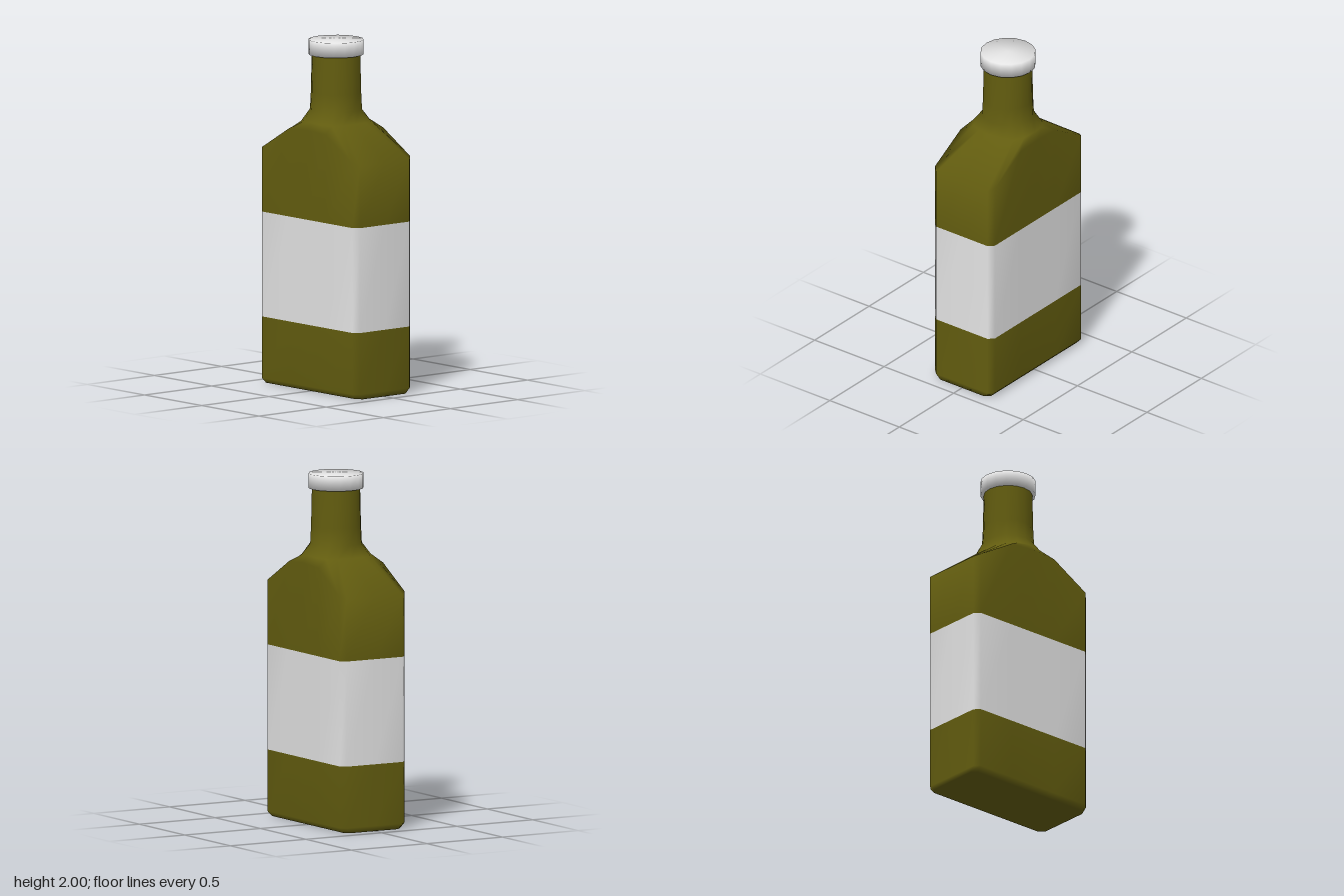
import * as THREE from 'three';

// Mirrors a quarter ring of five [x, y, z] points (side middle to front middle) into 16 points
function fullRing(q) {
  const ring = [];
  for (let k = 0; k < 16; k++) {
    const m = k % 8;
    const [x, y, z] = k <= 4 ? q[k] : k <= 8 ? q[8 - k] : k <= 12 ? q[k - 8] : q[16 - k];
    const sx = k > 4 && k < 12 ? -1 : 1;
    const sz = k > 8 ? -1 : 1;
    ring.push(m === 4 ? [0, y, sz * z] : [sx * x, y, sz * z]);
  }
  return ring;
}

// Rectangular ring with cut corners
const boxRing = (y, x, z, cut = 0.03) =>
  fullRing([[x, y, 0], [x, y, 0.16], [x, y, z - cut], [x - cut, y, z], [0, y, z]]);

// Round ring
const roundRing = (y, r) =>
  fullRing([0, 1, 2, 3, 4].map((k) => [r * Math.cos(k * Math.PI / 8), y, r * Math.sin(k * Math.PI / 8)]));

// Smooth skin over a stack of rings, listed from the bottom up
function loft(rings, closeBottom, closeTop) {
  const pos = rings.flat(2);
  const index = [];
  const n = 16;
  for (let r = 0; r < rings.length - 1; r++) {
    for (let k = 0; k < n; k++) {
      const a = r * n + k, b = r * n + (k + 1) % n;
      index.push(a, a + n, b, b, a + n, b + n);
    }
  }
  const close = (r, top) => {
    const c = pos.length / 3;
    pos.push(0, rings[r][0][1], 0);
    for (let k = 0; k < n; k++) {
      const a = r * n + k, b = r * n + (k + 1) % n;
      if (top) index.push(c, b, a);
      else index.push(c, a, b);
    }
  };
  if (closeBottom) close(0, false);
  if (closeTop) close(rings.length - 1, true);
  const g = new THREE.BufferGeometry();
  g.setAttribute('position', new THREE.Float32BufferAttribute(pos, 3));
  g.setIndex(index);
  g.computeVertexNormals();
  return g;
}

export function createModel() {
  const group = new THREE.Group();
  const olive = new THREE.MeshStandardMaterial({ color: 0x625c0f });
  olive.name = 'olive glass';
  const white = new THREE.MeshStandardMaterial({ color: 0xe3e3e3 });
  white.name = 'off white';

  const add = (name, geometry, material) => {
    const mesh = new THREE.Mesh(geometry, material);
    mesh.name = name;
    group.add(mesh);
  };

  const X = 0.215, Z = 0.425;
  const labelBottom = 0.383, labelTop = 0.985;

  // Base with a small bevel underneath
  add('base', loft([boxRing(0, 0.187, 0.422), boxRing(0.03, X, Z), boxRing(labelBottom, X, Z)], true, false), olive);

  // Label band flush with the walls
  add('label', loft([boxRing(labelBottom, X, Z), boxRing(labelTop, X, Z)], false, false), white);

  // Upper walls, sloped shoulders and round neck in one skin
  const wallTop = fullRing([
    [X, 1.5, 0], [X, 1.49, 0.16], [X, 1.355, 0.395], [0.185, 1.34, Z], [0, 1.34, Z],
  ]);
  const neckFoot = fullRing([
    [0.19, 1.54, 0], [0.18, 1.535, 0.08], [0.145, 1.53, 0.135], [0.085, 1.53, 0.16], [0, 1.53, 0.165],
  ]);
  add('shouldersAndNeck', loft([
    boxRing(labelTop, X, Z), wallTop, neckFoot,
    roundRing(1.6, 0.148), roundRing(1.7, 0.143), roundRing(1.93, 0.138),
  ], false, false), olive);

  // Flat round cap
  add('cap', loft([roundRing(1.915, 0.157), roundRing(2, 0.157)], true, true), white);

  return group;
}
